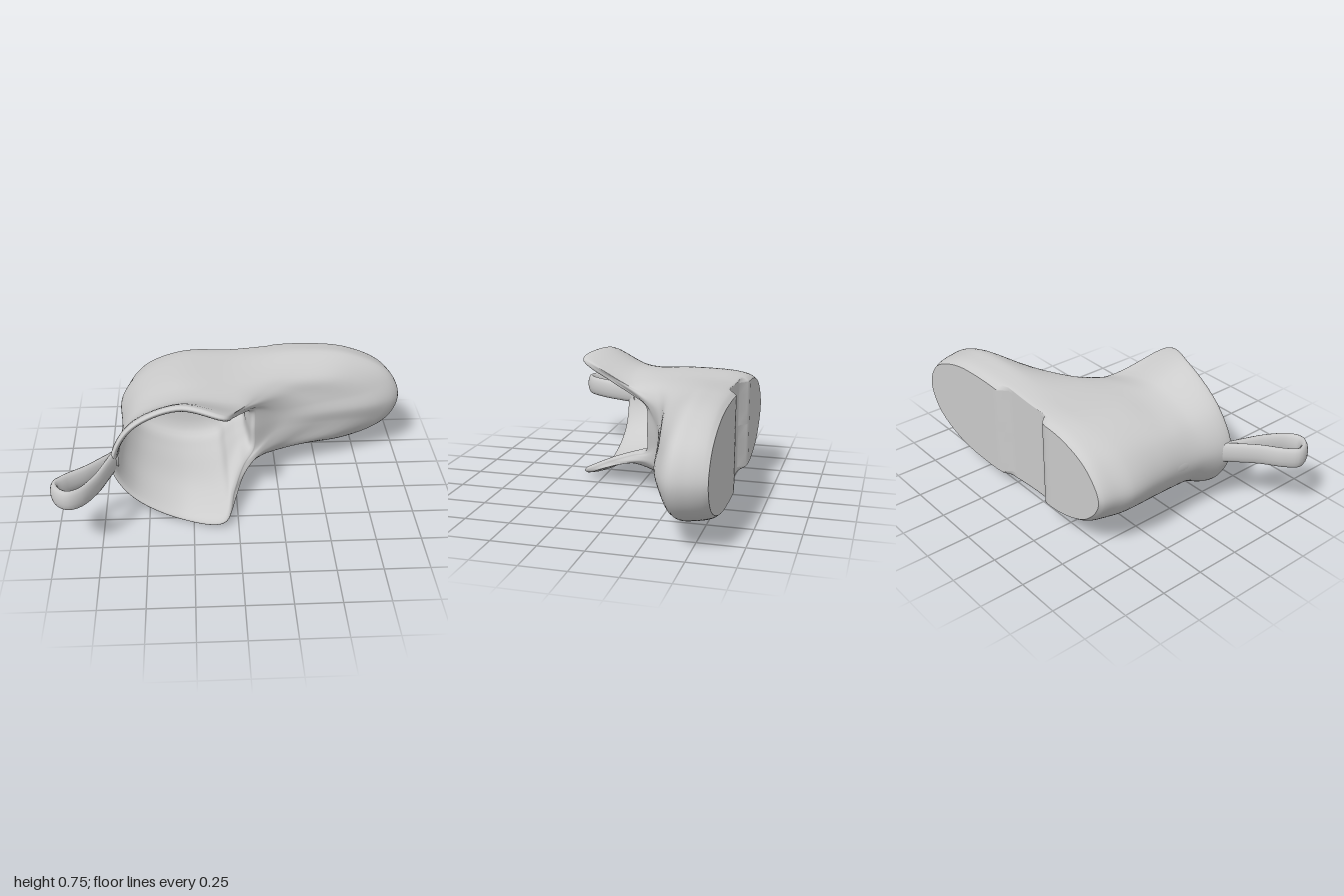
import * as THREE from 'three';

const U = 128;      // samples round each loop
const V = 5;        // samples between two loops
const MID = 0.378;  // height of the plane of symmetry

// Half loops from toe (or throat) to heel: x, half width, z
const WIDEST = [[1, 0, -.4], [.93, .16, -.41], [.7, .28, -.42], [.4, .312, -.42], [0, .285, -.4], [-.35, .27, -.4], [-.57, .17, -.4], [-.67, 0, -.4]];
const VAMP = [[.85, 0, -.31], [.8, .1, -.32], [.62, .2, -.3], [.35, .25, -.27], [0, .275, -.2], [-.35, .27, -.2], [-.57, .17, -.2], [-.655, 0, -.2]];
const INSTEP = [[.5, 0, -.23], [.47, .07, -.235], [.37, .15, -.22], [.22, .21, -.17], [0, .26, -.08], [-.3, .27, -.03], [-.57, .17, -.05], [-.65, 0, -.05]];
const ANKLE = [[.26, 0, -.172], [.25, .07, -.165], [.19, .15, -.12], [.1, .2, -.04], [0, .24, .06], [-.3, .285, .08], [-.57, .18, .07], [-.665, 0, .08]];
const RIM = [[.12, 0, -.08], [.115, .13, -.075], [.05, .18, .02], [-.01, .25, .17], [-.07, .345, .335], [-.32, .37, .265], [-.6, .22, .235], [-.7, 0, .24]];

// Closed smooth loop from a mirrored half
function loop(half) {
  const back = half.slice(1, -1).reverse().map(([x, y, z]) => [x, -y, z]);
  const curve = new THREE.CatmullRomCurve3([...half, ...back].map(p => new THREE.Vector3(...p)), true);
  return Array.from({ length: U }, (_, i) => curve.getPoint(i / U));
}

// Raised arch between heel and forefoot
function arch(p) {
  const s = THREE.MathUtils.smoothstep;
  p.z = Math.max(p.z, -.6 + .048 * s(p.x, -.16, -.11) * (1 - s(p.x, .21, .26)));
  return p;
}

// Surface through rows of U points each
function skin(rows) {
  const pos = [], idx = [];
  rows.forEach(r => r.forEach(p => pos.push(p.x, p.y, p.z)));
  for (let j = 0; j < rows.length - 1; j++) {
    for (let i = 0; i < U; i++) {
      const a = j * U + i, b = j * U + (i + 1) % U;
      idx.push(a, b, b + U, a, b + U, a + U);
    }
  }
  const g = new THREE.BufferGeometry();
  g.setAttribute('position', new THREE.Float32BufferAttribute(pos, 3));
  g.setIndex(idx);
  g.computeVertexNormals();
  return g;
}

export function createModel() {
  const group = new THREE.Group();
  const material = new THREE.MeshStandardMaterial({ color: 0xcccccc, side: THREE.DoubleSide });
  const add = (name, geometry) => {
    const mesh = new THREE.Mesh(geometry, material);
    mesh.name = name;
    mesh.position.y = MID;
    group.add(mesh);
    return mesh;
  };

  // Side wall of the sole: the widest loop drawn in towards the ground
  const lower = [[-.6, .949, .021, .87], [-.57, .965, .016, .94], [-.5, .985, .013, .99]]
    .map(([z, s, dx, w]) => WIDEST.map(p => [p[0] * s + dx, p[1] * w, z]));

  // Lip and lining: the rim shrunk about the shaft and sunk to the footbed
  const inner = [[.97, .97, -.25, -.04], [.93, .9, -.25, 0], [.89, .71, -.25, .4], [.86, .68, -.25, 1], [.8, .6, -.42, 1], [0, 0, -.45, 1]]
    .map(([sx, sy, z, k]) => RIM.map(p => [-.29 + (p[0] + .29) * sx, p[1] * sy, p[2] + (z - p[2]) * k]));

  // Boot shell, from ground edge over the rim and down inside
  const keys = [...lower, WIDEST, VAMP, INSTEP, ANKLE, RIM, ...inner].map(loop);
  const columns = Array.from({ length: U }, (_, i) => new THREE.CatmullRomCurve3(keys.map(k => k[i])));
  const count = (keys.length - 1) * V;
  const rows = Array.from({ length: count + 1 }, (_, j) => columns.map(c => arch(c.getPoint(j / count))));
  add('bootShell', skin(rows));

  // Sole: strips running from the centre line out to the ground edge
  const soleRows = [0, .35, .7, 1].map(w => rows[0].map(p => arch(new THREE.Vector3(p.x, p.y * w, -.6))));
  add('sole', skin(soleRows));

  // Pull strap: a flattened tube bent into a teardrop
  const path = [[-.67, .2], [-.72, .25], [-.82, .345], [-.93, .425], [-.975, .48], [-.955, .54], [-.9, .575], [-.84, .55], [-.765, .44], [-.71, .3], [-.685, .23]];
  const curve = new THREE.CatmullRomCurve3(path.map(([x, z]) => new THREE.Vector3(x, 0, z)));
  const strap = add('pullStrap', new THREE.TubeGeometry(curve, 60, .023, 14));
  strap.scale.y = 2.6;

  return group;
}
